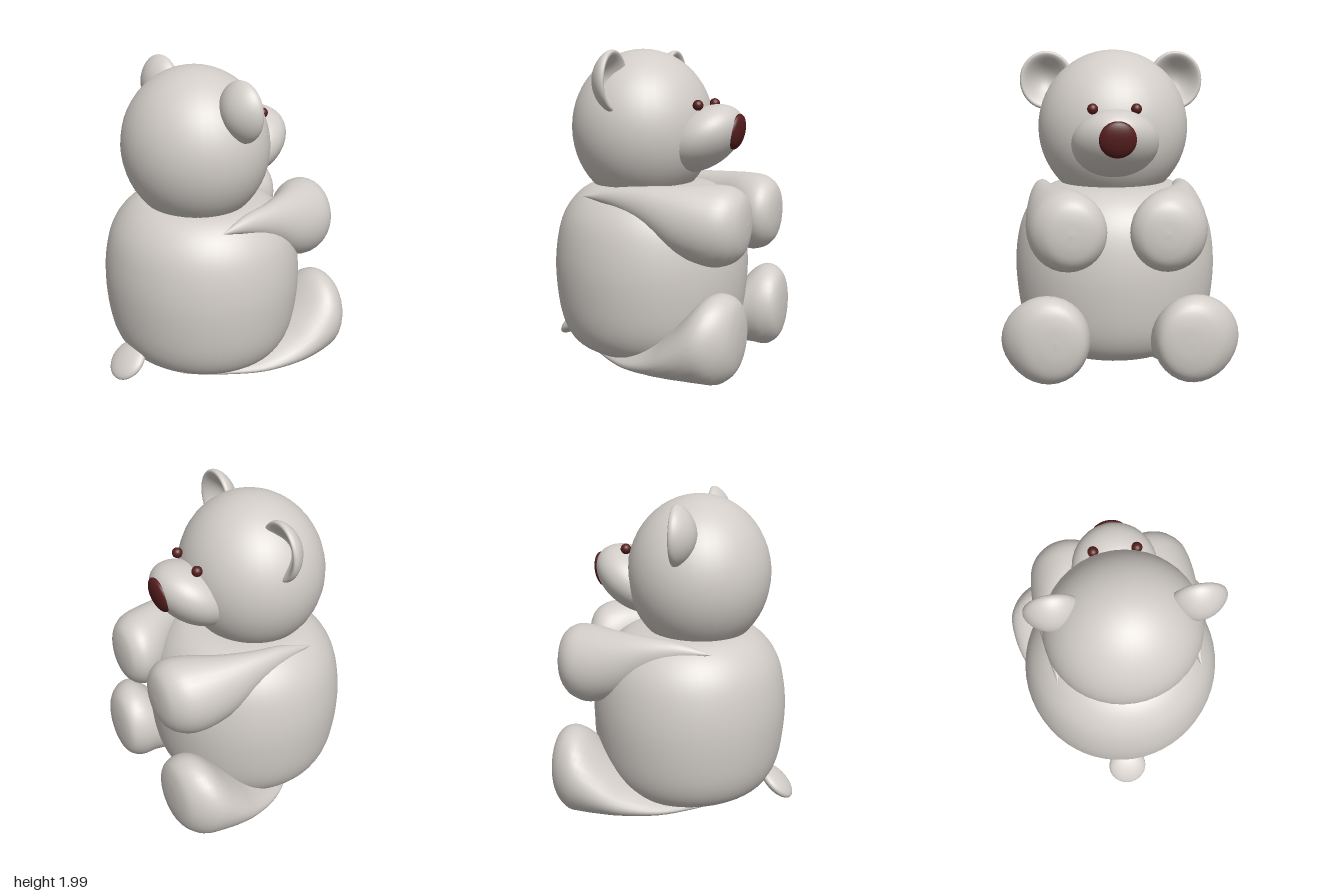
import * as THREE from 'three';

const fur = new THREE.MeshStandardMaterial({ color: 0xd2cdc8 });
fur.name = 'pale grey fur';
const dark = new THREE.MeshStandardMaterial({ color: 0x561e1e });
dark.name = 'dark red brown';

// Smooth limb from elliptical sections [x, y, z, halfHeight, halfWidth] running along +x
function loft(sections, rings = 40, sides = 32) {
  const curve = (pts) => new THREE.CatmullRomCurve3(pts, false, 'catmullrom', 0.5);
  const centre = curve(sections.map(([x, y, z]) => new THREE.Vector3(x, y, z)));
  const size = curve(sections.map((s) => new THREE.Vector3(s[3], s[4], 0)));
  const pos = [], index = [];
  for (let i = 0; i <= rings; i++) {
    const c = centre.getPoint(i / rings), r = size.getPoint(i / rings);
    const ry = Math.max(r.x, 0.0005), rz = Math.max(r.y, 0.0005);
    for (let j = 0; j < sides; j++) {
      const a = (j / sides) * Math.PI * 2;
      pos.push(c.x, c.y + ry * Math.cos(a), c.z + rz * Math.sin(a));
      if (i === rings) continue;
      const k = (j + 1) % sides, p = i * sides, q = p + sides;
      index.push(p + j, p + k, q + j, p + k, q + k, q + j);
    }
  }
  const g = new THREE.BufferGeometry();
  g.setAttribute('position', new THREE.Float32BufferAttribute(pos, 3));
  g.setIndex(index);
  g.computeVertexNormals();
  return g;
}

// Sphere whose vertices are moved by a rule
function shapedSphere(rule) {
  const g = new THREE.SphereGeometry(1, 48, 32);
  const p = g.attributes.position, v = new THREE.Vector3();
  for (let i = 0; i < p.count; i++) {
    v.fromBufferAttribute(p, i);
    rule(v);
    p.setXYZ(i, v.x, v.y, v.z);
  }
  g.computeVertexNormals();
  return g;
}

export function createModel() {
  const model = new THREE.Group();
  model.name = 'teddyBear';
  const add = (name, geometry, material, x = 0, y = 0, z = 0) => {
    const m = new THREE.Mesh(geometry, material);
    m.name = name;
    m.position.set(x, y, z);
    model.add(m);
    return m;
  };
  const ball = (name, material, c, r) => {
    const m = add(name, new THREE.SphereGeometry(1, 40, 28), material, ...c);
    m.scale.set(...r);
    return m;
  };

  // Plump body
  const profile = new THREE.SplineCurve([
    [0, 0.02], [0.3, 0.03], [0.47, 0.09], [0.56, 0.18], [0.615, 0.34], [0.64, 0.6],
    [0.62, 0.82], [0.565, 0.98], [0.46, 1.1], [0.32, 1.15], [0, 1.16],
  ].map(([r, y]) => new THREE.Vector2(r, y))).getPoints(50);
  profile.forEach((p) => { p.x = Math.max(p.x, 0); });
  const body = add('body', new THREE.LatheGeometry(profile, 56), fur, -0.047, 0, -0.005);
  body.scale.set(0.982, 1, 1.02);

  // Head, upturned muzzle and nose
  ball('head', fur, [-0.105, 1.5, 0.003], [0.456, 0.5, 0.486]);
  add('muzzle', shapedSphere((v) => {
    v.set(v.x * 0.25, v.y * 0.2 + v.x * 0.25 * 0.35, v.z * 0.268);
  }), fur, 0.32, 1.44, 0.02);
  const nose = ball('nose', dark, [0.538, 1.49, 0.02], [0.043, 0.113, 0.113]);
  nose.rotation.z = -0.18;

  // Eyes
  ball('leftEye', dark, [0.345, 1.655, -0.108], [0.033, 0.033, 0.033]);
  ball('rightEye', dark, [0.332, 1.655, 0.157], [0.033, 0.033, 0.033]);

  // Cupped ears, hollow towards the face
  const ear = shapedSphere((v) => {
    const r2 = v.y * v.y + v.z * v.z;
    const x = 0.05 * r2 + v.x * (v.x > 0 ? 0.12 * r2 - 0.03 : 0.07);
    v.set(x, v.y * 0.187, v.z * 0.172);
  });
  add('rightEar', ear, fur, -0.165, 1.805, 0.432);
  add('leftEar', ear, fur, -0.1, 1.805, -0.395);

  // Arms and legs taper from the body to fat paws
  const arm = [
    [-0.3, 1.1, 0.48, 0, 0], [-0.1, 1.1, 0.47, 0.06, 0.05], [0.1, 1.06, 0.46, 0.12, 0.09],
    [0.3, 0.985, 0.415, 0.205, 0.155], [0.48, 0.95, 0.345, 0.248, 0.222],
    [0.6, 0.95, 0.312, 0.238, 0.225], [0.675, 0.955, 0.3, 0.185, 0.17],
    [0.705, 0.96, 0.3, 0.105, 0.095], [0.714, 0.96, 0.3, 0, 0],
  ];
  const leg = [
    [-0.39, 0.035, 0.2, 0, 0], [-0.2, 0.05, 0.25, 0.035, 0.14], [0, 0.072, 0.33, 0.057, 0.23],
    [0.2, 0.122, 0.4, 0.108, 0.265], [0.35, 0.19, 0.445, 0.175, 0.27],
    [0.5, 0.27, 0.458, 0.257, 0.27], [0.6, 0.286, 0.44, 0.274, 0.25],
    [0.68, 0.295, 0.415, 0.22, 0.195], [0.712, 0.3, 0.4, 0.12, 0.11], [0.72, 0.3, 0.4, 0, 0],
  ];
  const place = (list, side, dx, dz) =>
    list.map(([x, y, z, h, w]) => [x + dx, y, side * z + dz, h, w]);
  add('rightArm', loft(place(arm, 1, 0, 0)), fur);
  add('leftArm', loft(place(arm, -1, 0.03, 0.04)), fur);
  add('rightLeg', loft(place(leg, 1, 0, 0)), fur);
  add('leftLeg', loft(place(leg, -1, 0.03, 0)), fur);

  // Flat stubby tail
  const tail = ball('tail', fur, [-0.645, 0.13, -0.05], [0.138, 0.05, 0.13]);
  tail.rotation.z = 0.75;

  return model;
}
